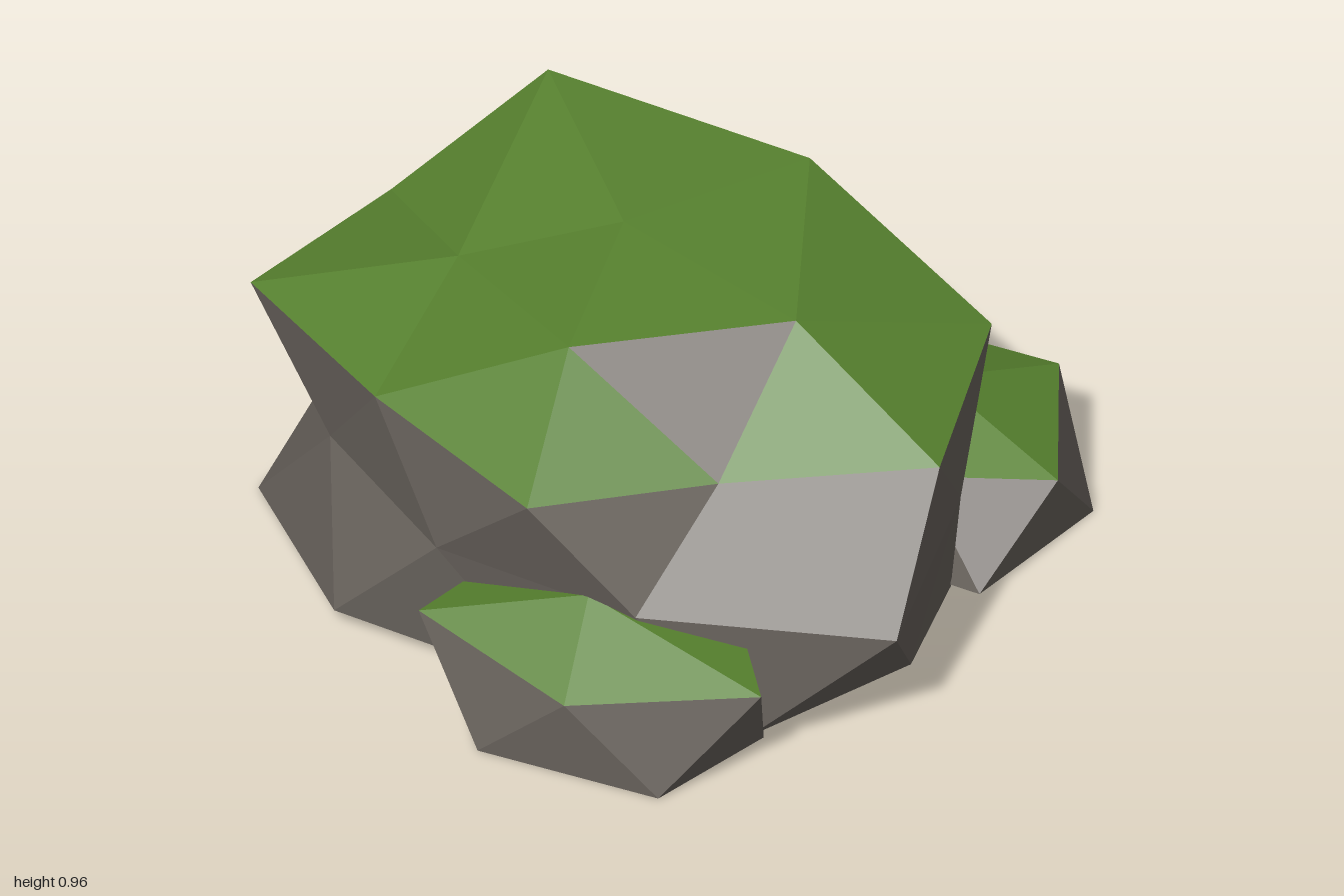
import * as THREE from 'three';

const stone = new THREE.MeshStandardMaterial({ color: 0x68625c, flatShading: true });
const moss = new THREE.MeshStandardMaterial({ color: 0x56802e, flatShading: true });
const MOSS_SLOPE = 0.75; // faces pointing up more than this carry moss

const ring = (points) => points.map((p) => new THREE.Vector3(...p));

// Triangles joining two rings of equal count whose points alternate around the rock
function zip(a, b) {
  const n = a.length, tris = [];
  for (let i = 0; i < n; i++) {
    const j = (i + 1) % n;
    tris.push([a[i], a[j], b[i]], [b[i], b[j], a[j]]);
  }
  return tris;
}

// Triangles joining a ring to a single point
function fan(points, tip) {
  return points.map((p, i) => [p, points[(i + 1) % points.length], tip]);
}

// Triangles joining a ring to a crown with half as many points
function crownBand(outer, crown) {
  const n = outer.length, tris = [];
  crown.forEach((c, k) => {
    const prev = outer[(2 * k - 1 + n) % n], mid = outer[2 * k], next = outer[2 * k + 1];
    tris.push([prev, mid, c], [mid, next, c], [c, crown[(k + 1) % crown.length], next]);
  });
  return tris;
}

function facetMesh(tris, material, name) {
  const geometry = new THREE.BufferGeometry().setFromPoints(tris.flat());
  geometry.computeVertexNormals();
  const mesh = new THREE.Mesh(geometry, material);
  mesh.name = name;
  return mesh;
}

// Turns every facet outwards, then splits the facets into bare stone and moss
function makeRock(name, tris, center) {
  const bare = [], mossy = [], normal = new THREE.Vector3(), mid = new THREE.Vector3();
  for (const [a, b, c] of tris) {
    const tri = new THREE.Triangle(a, b, c);
    tri.getNormal(normal);
    const outward = normal.dot(tri.getMidpoint(mid).sub(center)) > 0;
    if (!outward) normal.negate();
    (normal.y > MOSS_SLOPE ? mossy : bare).push(outward ? [a, b, c] : [a, c, b]);
  }
  const group = new THREE.Group();
  group.name = name;
  group.add(facetMesh(bare, stone, name + 'Stone'), facetMesh(mossy, moss, name + 'Moss'));
  return group;
}

// Large boulder: base, waist, shoulder and crown rings, running from +x towards +z
function makeBoulder() {
  const base = ring([
    [0.8, 0, 0], [0.7, 0.03, 0.5], [0.2, 0, 0.62], [-0.38, 0.05, 0.77], [-0.87, 0, 0.46],
    [-0.82, 0, 0.05], [-0.64, 0, -0.14], [-0.2, 0, -0.44], [0.3, 0, -0.48], [0.68, 0, -0.3],
  ]);
  const waist = ring([
    [1, 0.35, 0.3], [0.45, 0.35, 0.63], [-0.1, 0.35, 0.72], [-0.58, 0.35, 0.54], [-0.82, 0.35, 0.1],
    [-1, 0.35, -0.25], [-0.64, 0.43, -0.64], [-0.1, 0.35, -0.71], [0.45, 0.35, -0.57], [0.76, 0.35, -0.24],
  ]);
  const shoulder = ring([
    [0.89, 0.65, 0], [0.49, 0.62, 0.36], [0.2, 0.63, 0.74], [-0.35, 0.65, 0.65], [-0.87, 0.65, 0.49],
    [-0.83, 0.66, 0], [-0.66, 0.58, -0.34], [-0.28, 0.58, -0.53], [0.2, 0.58, -0.57], [0.67, 0.7, -0.47],
  ]);
  const crown = ring([
    [0.44, 0.88, 0], [0.07, 0.87, 0.42], [-0.44, 0.78, 0.22], [-0.59, 0.96, -0.31], [0.1, 0.93, -0.47],
  ]);
  const tris = [
    ...fan(base, new THREE.Vector3(0, 0, 0.1)),
    ...zip(base, waist),
    ...zip(shoulder, waist),
    ...crownBand(shoulder, crown),
    ...fan(crown, new THREE.Vector3(-0.1, 0.92, 0)),
  ];
  return makeRock('boulder', tris, new THREE.Vector3(0, 0.35, 0));
}

// Small rock: upper rim and base ring, closed above by a peak and below by a flat floor
function makeSmallRock(name, rimPoints, basePoints, peak) {
  const rim = ring(rimPoints), base = ring(basePoints), tip = new THREE.Vector3(...peak);
  const floor = new THREE.Vector3(tip.x, 0, tip.z);
  const tris = [...fan(rim, tip), ...zip(rim, base), ...fan(base, floor)];
  return makeRock(name, tris, new THREE.Vector3(tip.x, 0.14, tip.z));
}

export function createModel() {
  const model = new THREE.Group();
  model.name = 'mossyRocks';
  model.add(
    makeBoulder(),
    makeSmallRock('frontRock',
      [[0.82, 0.27, 0.6], [0.43, 0.22, 0.88], [-0.05, 0.26, 0.85], [-0.02, 0.27, 0.55], [0.2, 0.36, 0.45], [0.6, 0.3, 0.42]],
      [[0.66, 0, 0.8], [0.2, 0, 0.93], [-0.07, 0.02, 0.66], [0.1, 0, 0.42], [0.4, 0, 0.36], [0.73, 0.03, 0.48]],
      [0.32, 0.37, 0.65]),
    makeSmallRock('backRock',
      [[0.82, 0.25, -0.54], [0.55, 0.25, -0.34], [0.2, 0.25, -0.36], [0.08, 0.25, -0.55], [0.05, 0.25, -0.77], [0.53, 0.25, -0.9]],
      [[0.77, 0.02, -0.3], [0.4, 0, -0.25], [0.1, 0, -0.45], [0.08, 0, -0.66], [0.3, 0, -0.93], [0.76, 0, -0.75]],
      [0.42, 0.36, -0.56]),
  );
  return model;
}
